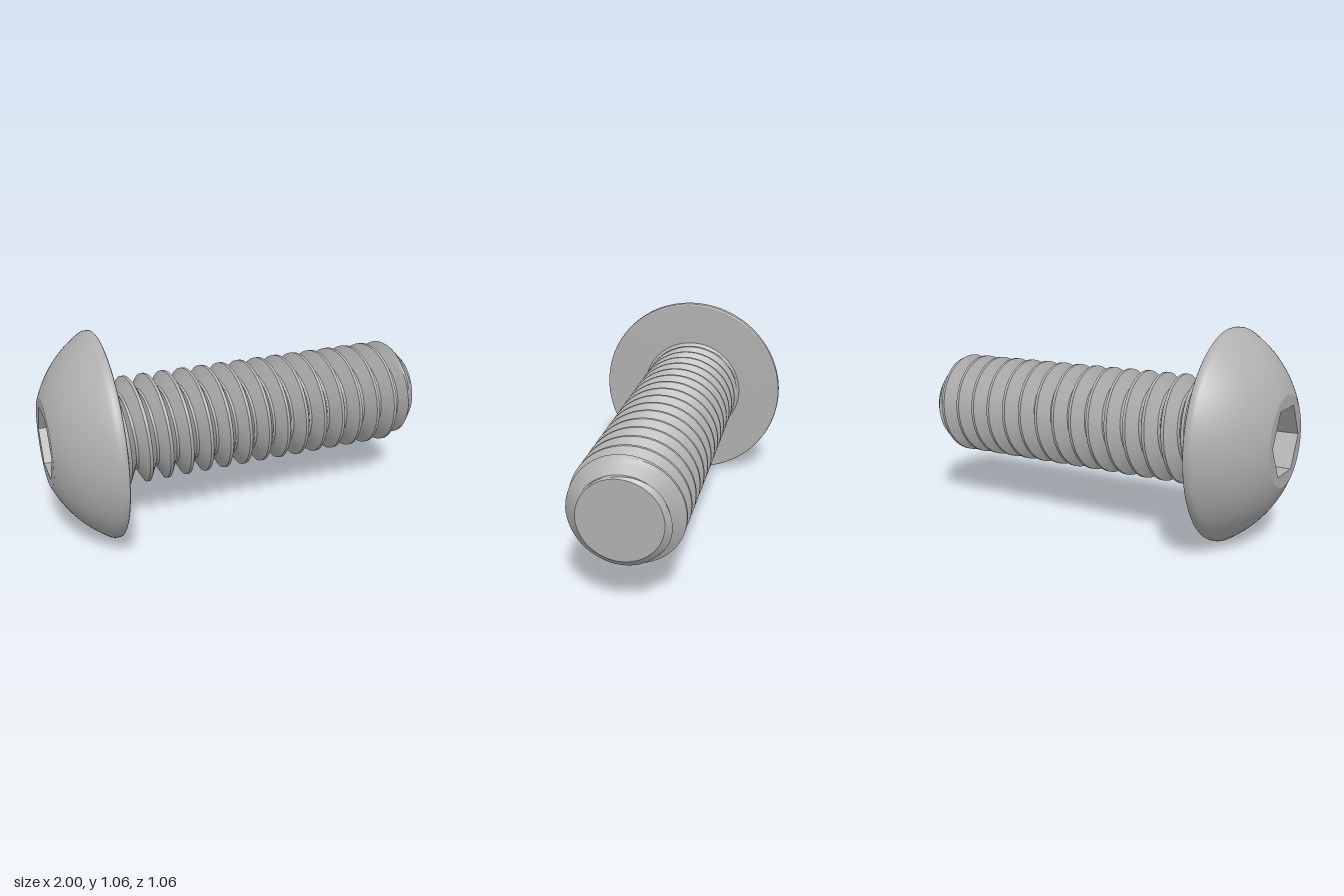
import * as THREE from 'three';
import { toCreasedNormals } from 'three/addons/utils/BufferGeometryUtils.js';

const HEAD_R = 0.528, AXIS_Y = HEAD_R;      // screw axis runs along x at this height
const HEAD_X = -0.705, FACE_R = 0.225;      // underside of head, flat on top of the dome
const HEX_R = 0.183, HEX_DEPTH = 0.176;
const PITCH = 0.1061, CREST_R = 0.278, ROOT_R = 0.207, FIRST_CREST = -0.561;
const CREST_HALF = 0.0075, FLANK_END = 0.0465;

// Shaft radius: V thread, chamfered at the tip, fillet cone under the head
function shaftRadius(x, d) {
  const t = THREE.MathUtils.clamp((Math.abs(d) - CREST_HALF) / (FLANK_END - CREST_HALF), 0, 1);
  let r = THREE.MathUtils.lerp(CREST_R, ROOT_R, t);
  r = Math.max(r, 0.29 - (x - HEAD_X));
  return Math.min(r, 0.2 + (1 - x));
}

// Helical grid: each column is the thread profile shifted along x by the angle
function threadGeometry() {
  const SEG = 72, SUB = 5;
  const offsets = [-CREST_HALF];
  for (let k = 0; k <= SUB; k++) offsets.push(THREE.MathUtils.lerp(CREST_HALF, FLANK_END, k / SUB));
  for (let k = 0; k < SUB; k++) offsets.push(PITCH - THREE.MathUtils.lerp(FLANK_END, CREST_HALF, k / SUB));

  const column = (j) => {
    const a = (j / SEG) * Math.PI * 2, pts = [];
    for (let n = -3; n <= 16; n++) {
      for (const o of offsets) {
        const raw = FIRST_CREST + PITCH * (n + j / SEG) + o;
        const x = THREE.MathUtils.clamp(raw, HEAD_X, 1);
        // distance to the nearest crest at the clamped position
        const u = (x - FIRST_CREST) / PITCH - j / SEG;
        const r = shaftRadius(x, (u - Math.round(u)) * PITCH);
        pts.push(new THREE.Vector3(x, r * Math.cos(a), r * Math.sin(a)));
      }
    }
    return pts;
  };

  const pos = [];
  const tri = (a, b, c) => {
    if (a.distanceTo(b) < 1e-6 || b.distanceTo(c) < 1e-6 || c.distanceTo(a) < 1e-6) return;
    for (const p of [a, b, c]) pos.push(p.x, p.y, p.z);
  };
  for (let j = 0; j < SEG; j++) {
    const A = column(j), B = column(j + 1);
    for (let i = 0; i < A.length - 1; i++) {
      tri(A[i], B[i], B[i + 1]);
      tri(A[i], B[i + 1], A[i + 1]);
    }
  }
  const g = new THREE.BufferGeometry();
  g.setAttribute('position', new THREE.Float32BufferAttribute(pos, 3));
  return toCreasedNormals(g, 0.5);
}

// Dome, rounded rim and flat underside
function headGeometry() {
  const cx = -0.43, R = Math.hypot(1 + cx, FACE_R), pts = [];
  const a0 = Math.asin(FACE_R / R), a1 = Math.asin(0.518 / R);
  for (let i = 0; i <= 16; i++) {
    const a = a0 + (a1 - a0) * (i / 16);
    pts.push(new THREE.Vector2(R * Math.sin(a), cx - R * Math.cos(a)));
  }
  for (const [r, x] of [[0.525, -0.745], [HEAD_R, -0.735], [HEAD_R, -0.718], [0.526, -0.709], [0.52, HEAD_X], [0.2, HEAD_X]])
    pts.push(new THREE.Vector2(r, x));
  return toCreasedNormals(new THREE.LatheGeometry(pts, 96).rotateZ(-Math.PI / 2), 0.5);
}

// Flat ring around the hexagonal opening
function faceGeometry() {
  const shape = new THREE.Shape().absarc(0, 0, FACE_R, 0, Math.PI * 2);
  const hex = [];
  for (let k = 0; k < 6; k++)
    hex.push(new THREE.Vector2(HEX_R * Math.cos(k * Math.PI / 3), HEX_R * Math.sin(k * Math.PI / 3)));
  shape.holes.push(new THREE.Path(hex));
  return new THREE.ShapeGeometry(shape, 48).rotateY(-Math.PI / 2).translate(-1, 0, 0);
}

export function createModel() {
  const steel = new THREE.MeshStandardMaterial({ color: 0xb0b0b0 });
  steel.name = 'steel grey';
  const screw = new THREE.Group();
  screw.name = 'buttonHeadScrew';
  const add = (name, geometry) => {
    const mesh = new THREE.Mesh(geometry, steel);
    mesh.name = name;
    mesh.position.y = AXIS_Y;
    screw.add(mesh);
  };

  add('head', headGeometry());
  add('headFace', faceGeometry());

  // Socket walls are mirrored so that they face inwards
  const walls = new THREE.CylinderGeometry(HEX_R, HEX_R, HEX_DEPTH, 6, 1, true)
    .scale(-1, 1, 1).rotateZ(Math.PI / 2).translate(-1 + HEX_DEPTH / 2, 0, 0);
  add('socketWalls', toCreasedNormals(walls, 0.3));
  add('socketFloor', new THREE.CircleGeometry(HEX_R, 6).rotateY(-Math.PI / 2).translate(-1 + HEX_DEPTH, 0, 0));

  add('threadedShaft', threadGeometry());
  add('shaftTip', new THREE.CircleGeometry(0.2, 72).rotateY(Math.PI / 2).translate(1, 0, 0));
  return screw;
}
